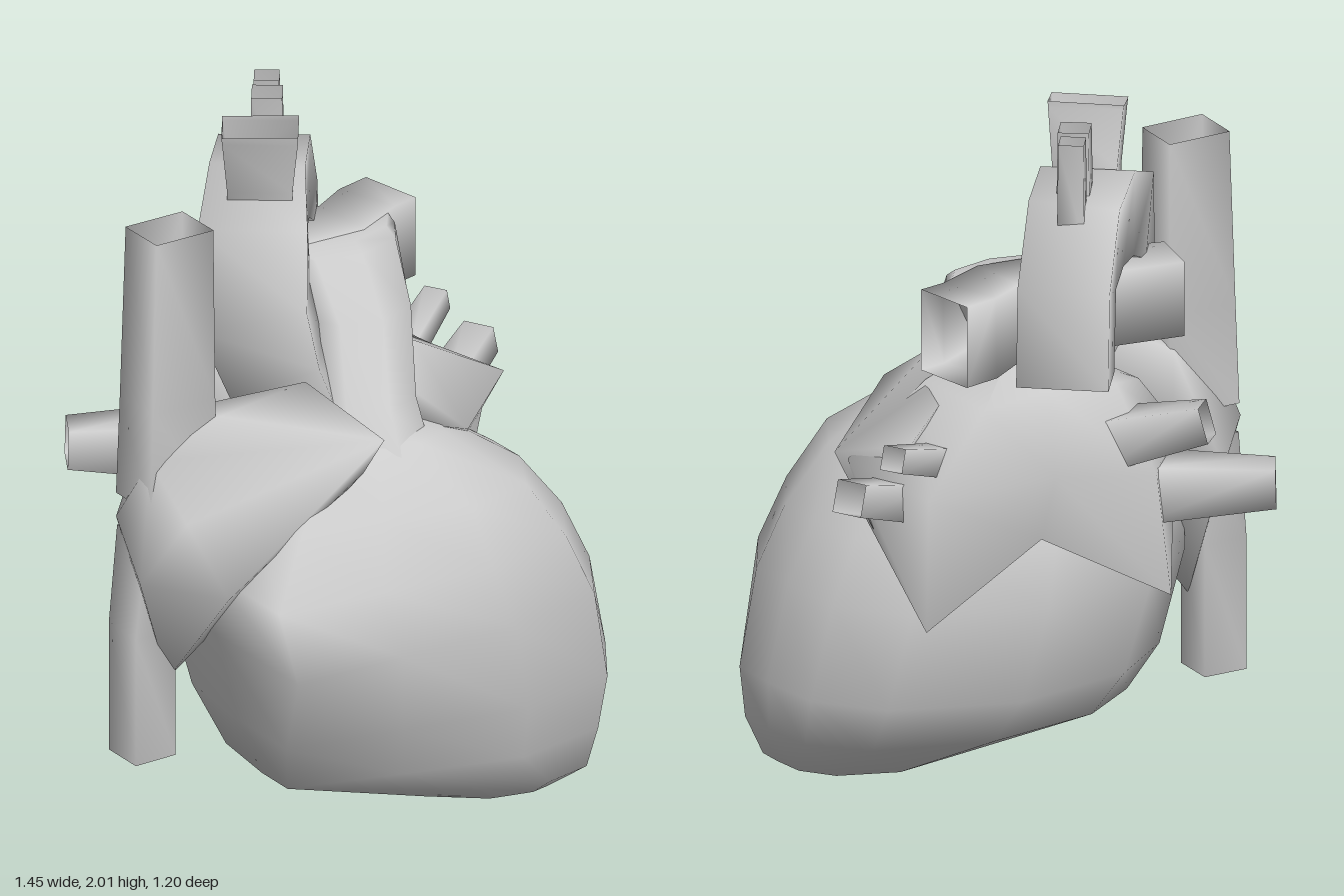
import * as THREE from 'three';
import { ConvexGeometry } from 'three/addons/geometries/ConvexGeometry.js';
import { mergeVertices } from 'three/addons/utils/BufferGeometryUtils.js';

const material = new THREE.MeshStandardMaterial({ color: 0xcccccc, side: THREE.DoubleSide });
const V = (p) => new THREE.Vector3(...p);

// Skin over a list of rings, each a closed loop of [x, y, z] points
function loft(rings) {
  const n = rings[0].length, index = [];
  for (let i = 0; i < rings.length - 1; i++) {
    for (let j = 0; j < n; j++) {
      const a = i * n + j, b = i * n + (j + 1) % n;
      index.push(a, a + n, b, b, a + n, b + n);
    }
  }
  const g = new THREE.BufferGeometry();
  g.setAttribute('position', new THREE.Float32BufferAttribute(rings.flat(2), 3));
  g.setIndex(index);
  g.computeVertexNormals();
  return g;
}

// Open four-sided vessel along [x, y, z, half size, second half size]; ref is a direction across the path
function vessel(stations, ref) {
  const pts = stations.map((s) => V(s.slice(0, 3)));
  const rings = pts.map((p, i) => {
    const t = pts[Math.min(i + 1, pts.length - 1)].clone().sub(pts[Math.max(i - 1, 0)]).normalize();
    const u = V(ref).cross(t).normalize(), w = t.clone().cross(u);
    const [, , , ru, rw = ru] = stations[i];
    return [[1, 1], [-1, 1], [-1, -1], [1, -1]].map(([a, b]) =>
      p.clone().addScaledVector(u, 0.96 * ru * a).addScaledVector(w, 0.96 * rw * b).toArray());
  });
  return loft(rings);
}

// Rounded faceted lump through its corner points
function lump(points) {
  const g = new ConvexGeometry(points.map(V));
  g.deleteAttribute('normal');
  g.deleteAttribute('uv');
  const merged = mergeVertices(g, 1e-4);
  merged.computeVertexNormals();
  return merged;
}

export function createModel() {
  const group = new THREE.Group();
  const add = (name, geometry) => {
    const mesh = new THREE.Mesh(geometry, material);
    mesh.name = name;
    group.add(mesh);
  };

  // Ventricles: one outline fitted to each level [y, x0, x1, z0, z1, right front corner]
  const outline = [[0.25, 1], [0.78, 0.88], [1, 0.44], [0.99, 0.1], [0.94, -0.33], [0.68, -0.72],
    [0.05, -1], [-0.6, -0.85], [-0.95, -0.5], [-1, 0.1]];
  const levels = [
    [0, 0.35, 0.35, 0.38, 0.38, 0.6], [0.005, 0.24, 0.44, 0.28, 0.44, 0.6],
    [0.05, 0.05, 0.59, 0.04, 0.49, 0.5], [0.18, -0.4, 0.66, -0.18, 0.545, 0.45],
    [0.34, -0.45, 0.69, -0.32, 0.57, 0.65], [0.62, -0.52, 0.63, -0.36, 0.6, 0.95],
    [0.8, -0.52, 0.55, -0.33, 0.56, 0.83], [0.97, -0.38, 0.42, -0.25, 0.5, 0.7],
    [1.12, -0.18, 0.2, -0.1, 0.33, 0.7], [1.15, 0, 0, 0.1, 0.1, 0.7]];
  add('ventricles', loft(levels.map(([y, x0, x1, z0, z1, corner]) =>
    [...outline, [-1, corner], [-0.4, (1 + corner) / 2]].map(([u, v]) =>
      [(x0 + x1) / 2 + u * (x1 - x0) / 2, y, (z0 + z1) / 2 + v * (z1 - z0) / 2]))));

  // Left atrium with two low points at the back
  add('leftAtrium', loft([
    [[0.45, 0.6, -0.31], [0.12, 0.84, -0.38], [-0.24, 0.64, -0.48], [-0.35, 0.85, -0.3],
      [-0.2, 0.95, 0], [0.15, 1, 0.08], [0.5, 0.88, -0.04]],
    [[0.46, 1, -0.34], [0.12, 1.05, -0.46], [-0.2, 1, -0.47], [-0.35, 1.08, -0.3],
      [-0.2, 1.15, 0], [0.15, 1.17, 0.08], [0.56, 1.06, -0.06]],
    [[0.28, 1.24, -0.34], [0.1, 1.28, -0.38], [-0.12, 1.26, -0.38], [-0.25, 1.22, -0.28],
      [-0.1, 1.29, -0.1], [0.1, 1.32, -0.05], [0.3, 1.24, -0.04]],
    Array(7).fill([0.08, 1.35, -0.16])]));
  add('leftAuricle', lump([[0.12, 1.11, 0.19], [0.22, 1.12, 0.33], [0.14, 1.2, 0.17], [0.22, 1.29, 0.06],
    [0.3, 1.24, 0.03], [0.58, 1.07, -0.02], [0.42, 1.04, 0.06], [0.5, 0.85, -0.1], [0.44, 1.12, -0.2],
    [0.18, 1.3, -0.1]]));

  // Right atrium with its auricle reaching forward
  add('rightAtrium', lump([[-0.73, 0.8, 0.1], [-0.71, 0.95, -0.05], [-0.53, 0.9, -0.27], [-0.37, 1, -0.27],
    [-0.58, 0.8, 0.32], [-0.64, 1, 0.2], [-0.11, 1.2, 0.4], [-0.16, 1.1, 0.37], [-0.22, 1.32, 0.17],
    [-0.46, 1.25, 0.1], [-0.57, 0.43, 0], [-0.67, 1.15, 0.06], [-0.47, 1.2, -0.09]]));

  // Great veins
  add('upperVenaCava', vessel([[-0.575, 1, 0, 0.115, 0.09], [-0.57, 1.3, 0, 0.11, 0.085],
    [-0.56, 1.815, -0.005, 0.1, 0.08]], [0, 0, 1]));
  add('lowerVenaCava', vessel([[-0.635, 0.21, -0.03, 0.07], [-0.635, 0.6, -0.03, 0.07],
    [-0.62, 0.9, 0, 0.075]], [0, 0, 1]));

  // Aorta and the branches of its arch
  const acrossArch = [0.81, 0, 0.58];
  add('aorta', vessel([[-0.1, 1.12, 0, 0.12], [-0.19, 1.3, -0.02, 0.12, 0.14], [-0.25, 1.48, -0.04, 0.145, 0.16],
    [-0.225, 1.65, -0.08, 0.145, 0.16], [-0.13, 1.715, -0.2, 0.125, 0.14], [-0.02, 1.71, -0.33, 0.12, 0.135],
    [0.05, 1.58, -0.4, 0.095, 0.135], [0.055, 1.31, -0.4, 0.085, 0.135]], acrossArch));
  const branches = [
    [[-0.16, 1.7, -0.14, 0.07, 0.095], [-0.175, 1.82, -0.12, 0.065, 0.095],
      [-0.195, 1.98, -0.09, 0.06, 0.11], [-0.197, 2, -0.088, 0.06, 0.112]],
    [[-0.05, 1.7, -0.27, 0.05], [-0.05, 2, -0.27, 0.045]],
    [[0.01, 1.7, -0.36, 0.04], [0.01, 2, -0.36, 0.037]]];
  branches.forEach((b, i) => add('archBranch' + (i + 1), vessel(b, acrossArch)));

  // Pulmonary trunk, flaring to a flat top: [y, x, z, half width, half depth]
  const trunk = [[0.98, 0, 0.15, 0.24, 0.26], [1.1, -0.01, 0.13, 0.185, 0.205], [1.2, 0.01, 0.1, 0.165, 0.155],
    [1.4, 0.09, -0.03, 0.17, 0.13], [1.55, 0.11, -0.15, 0.19, 0.12], [1.575, 0.11, -0.17, 0.18, 0.1],
    [1.575, 0.11, -0.17, 0, 0]];
  add('pulmonaryTrunk', loft(trunk.map(([y, x, z, rx, rz]) => Array.from({ length: 8 }, (_, i) => {
    const a = -i * Math.PI / 4;
    return [x + rx * Math.cos(a), y, z + rz * Math.sin(a)];
  }))));

  // Pulmonary artery crossing behind the trunk, open at both ends
  add('pulmonaryArtery', vessel([[-0.365, 1.465, -0.28, 0.09, 0.115], [-0.1, 1.465, -0.23, 0.105, 0.115],
    [0.16, 1.465, -0.21, 0.1, 0.12], [0.29, 1.46, -0.275, 0.1, 0.125],
    [0.385, 1.46, -0.295, 0.1, 0.125]], [0, 1, 0]));

  // Pulmonary veins
  const veins = {
    leftUpperVein: [[0.36, 1.07, -0.23, 0.045], [0.59, 1.16, -0.365, 0.036]],
    leftLowerVein: [[0.4, 0.93, -0.14, 0.06], [0.69, 1.04, -0.295, 0.048]],
    rightUpperVein: [[-0.08, 1.08, -0.33, 0.08], [-0.31, 1.17, -0.56, 0.045, 0.055]],
    rightLowerVein: [[-0.2, 0.93, -0.35, 0.09], [-0.54, 0.94, -0.545, 0.06]]
  };
  for (const [name, path] of Object.entries(veins)) add(name, vessel(path, [0, 1, 0]));

  return group;
}
